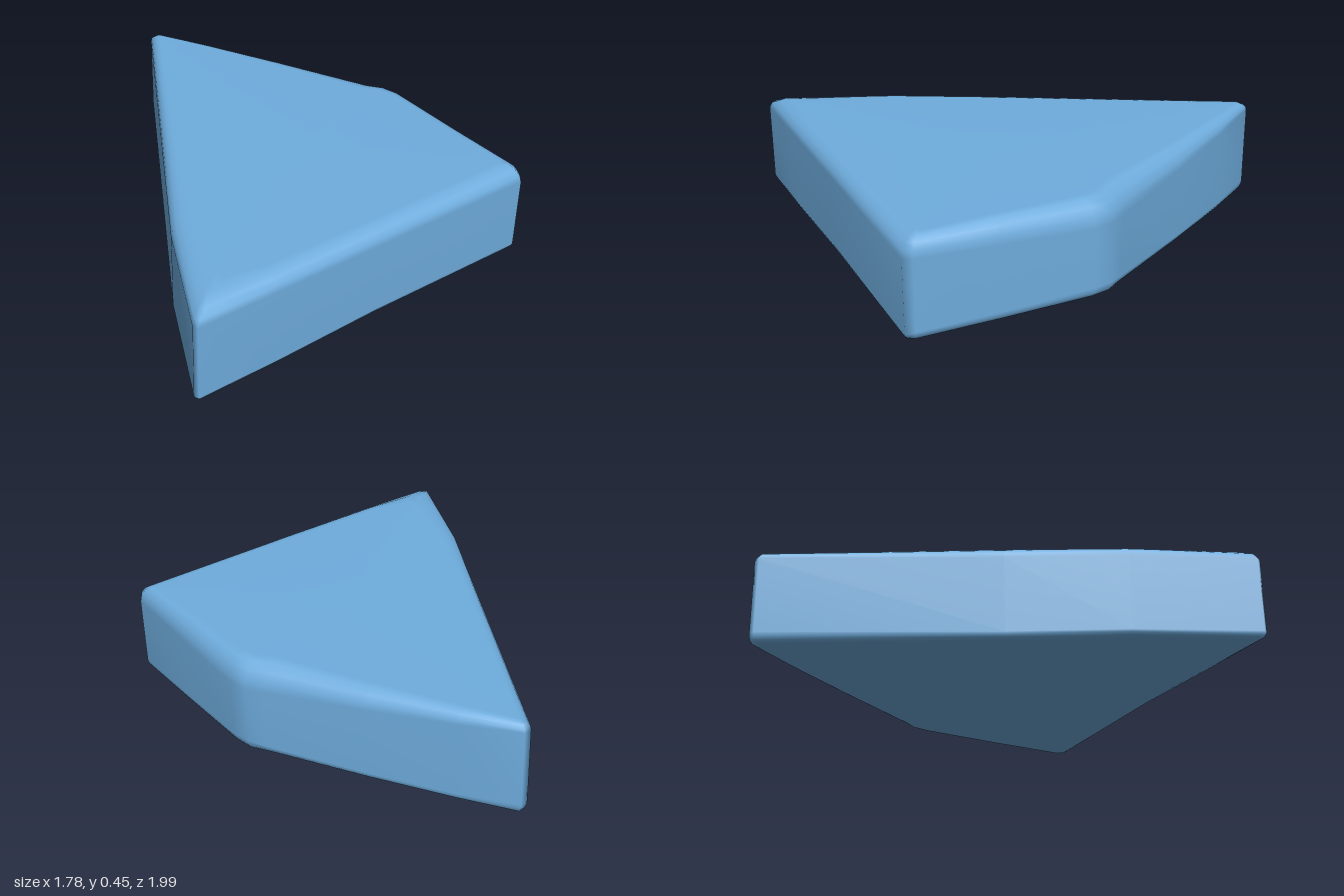
import * as THREE from 'three';

const TOP = 0.45;
const STEPS = 4; // segments across each rounded rim

// Outline stations, clockwise from the rear tip:
// [x, z, topInsetX, topInsetZ, topRimY, bottomInsetX, bottomInsetZ, bottomRimY]
const STATIONS = [
  [0.275, -0.99, 0.265, -0.93, 0.41, 0.265, -0.96, 0.05],
  [0.42, -0.75, 0.37, -0.72, 0.39, 0.39, -0.73, 0.04],
  [0.61, -0.40, 0.54, -0.36, 0.36, 0.57, -0.38, 0.04],
  [0.83, 0.02, 0.73, 0.07, 0.33, 0.78, 0.05, 0.05],
  [0.873, 0.09, 0.78, 0.13, 0.33, 0.82, 0.11, 0.06],
  [0.887, 0.18, 0.80, 0.20, 0.33, 0.83, 0.19, 0.06],
  [0.868, 0.60, 0.79, 0.60, 0.35, 0.82, 0.60, 0.05],
  [0.853, 0.96, 0.79, 0.90, 0.37, 0.80, 0.93, 0.05],
  [0.83, 0.997, 0.77, 0.91, 0.37, 0.78, 0.94, 0.04],
  [0.02, 0.978, 0.02, 0.89, 0.38, 0.02, 0.88, 0.05],
  [-0.50, 0.962, -0.48, 0.87, 0.38, -0.48, 0.91, 0.03],
  [-0.88, 0.95, -0.66, 0.83, 0.38, -0.82, 0.92, 0.03],
  [-0.89, 0.93, -0.67, 0.78, 0.385, -0.83, 0.90, 0.03],
  [-0.63, 0.42, -0.55, 0.44, 0.39, -0.58, 0.43, 0.03],
  [-0.34, -0.05, -0.29, -0.03, 0.39, -0.31, -0.03, 0.03],
  [0.235, -0.985, 0.25, -0.93, 0.41, 0.25, -0.96, 0.05],
];

// Stacked cross-sections: lower rounded rim, straight wall, upper rounded rim
function slabGeometry() {
  const n = STATIONS.length;
  const pos = [];
  const index = [];
  const addLoop = (angle, upper) => {
    const c = Math.cos(angle), s = Math.sin(angle);
    for (const [x, z, tx, tz, ty, bx, bz, by] of STATIONS) {
      const ix = upper ? tx : bx, iz = upper ? tz : bz;
      const y = upper ? ty + (TOP - ty) * s : by * (1 - s);
      pos.push(ix + (x - ix) * c, y, iz + (z - iz) * c);
    }
  };
  for (let i = STEPS; i >= 0; i--) addLoop((i / STEPS) * Math.PI / 2, false);
  for (let i = 0; i <= STEPS; i++) addLoop((i / STEPS) * Math.PI / 2, true);

  const loops = 2 * (STEPS + 1);
  const bottomCentre = loops * n, topCentre = bottomCentre + 1;
  pos.push(0.2, 0, 0.25, 0.2, TOP, 0.25);
  for (let i = 0; i < n; i++) {
    const k = (i + 1) % n;
    for (let j = 0; j < loops - 1; j++) {
      const a = j * n + i, b = a + n, d = j * n + k, c = d + n;
      index.push(a, b, c, a, c, d);
    }
    const last = (loops - 1) * n;
    index.push(bottomCentre, i, k, topCentre, last + k, last + i);
  }

  const geometry = new THREE.BufferGeometry();
  geometry.setAttribute('position', new THREE.Float32BufferAttribute(pos, 3));
  geometry.setIndex(index);
  geometry.computeVertexNormals();
  return geometry;
}

export function createModel() {
  const group = new THREE.Group();
  group.name = 'wedgeSlab';
  const blue = new THREE.MeshStandardMaterial({ color: 0x6fadde });
  blue.name = 'soft blue';
  const slab = new THREE.Mesh(slabGeometry(), blue);
  slab.name = 'slab';
  group.add(slab);
  return group;
}
